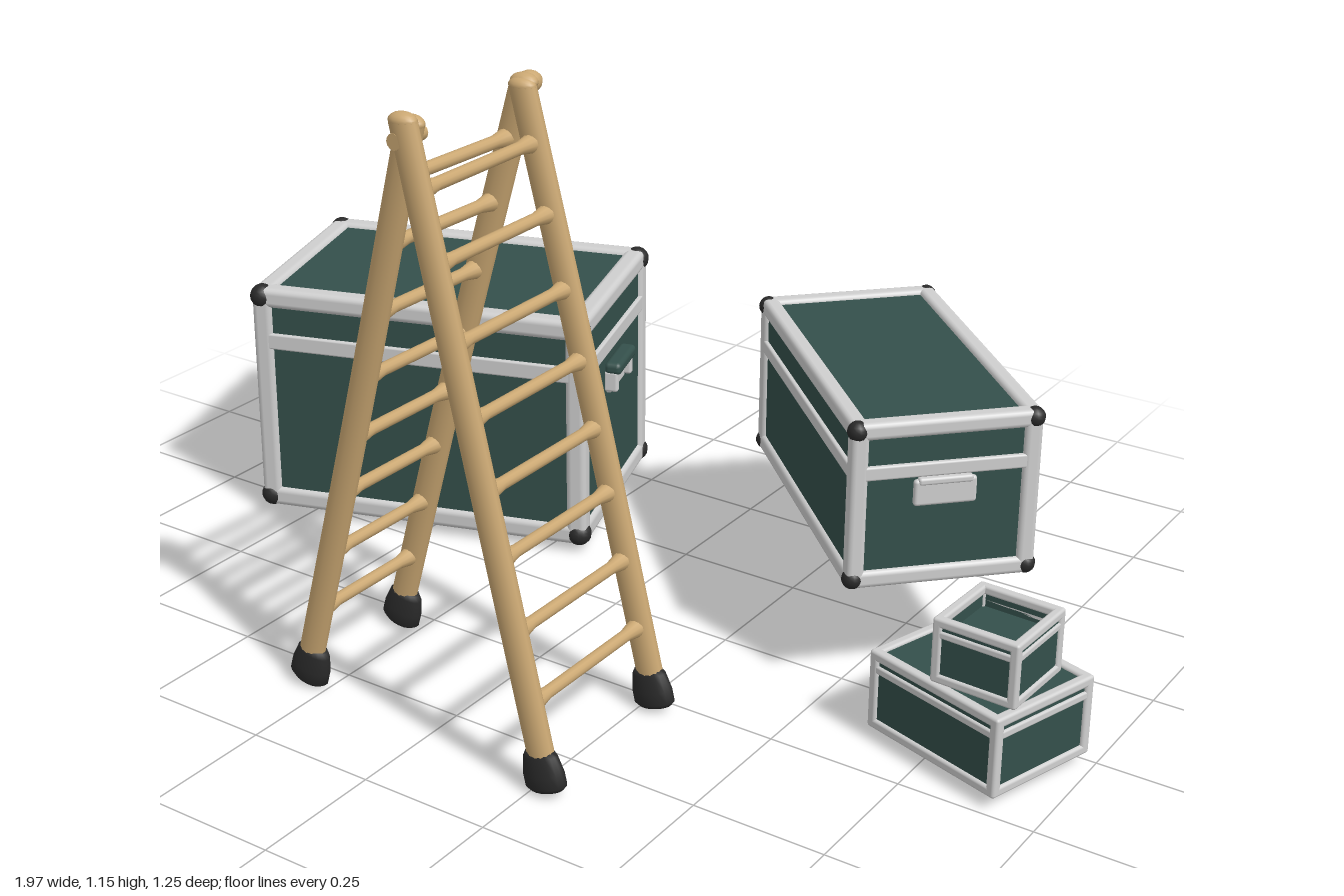
import * as THREE from 'three';
import { RoundedBoxGeometry } from 'three/addons/geometries/RoundedBoxGeometry.js';

const paint = (name, hex) => {
  const m = new THREE.MeshStandardMaterial({ color: hex });
  m.name = name;
  return m;
};

export function createModel() {
  const green = paint('dark green panel', 0x34504b);
  const trim = paint('pale grey trim', 0xcfcfcf);
  const wood = paint('wood', 0xcba873);
  const black = paint('black rubber', 0x2a2a2a);
  const root = new THREE.Group();
  root.name = 'ladderAndTrunks';

  function add(parent, name, geo, mat, x = 0, y = 0, z = 0) {
    const mesh = new THREE.Mesh(geo, mat);
    mesh.name = name;
    mesh.position.set(x, y, z);
    parent.add(mesh);
    return mesh;
  }
  const box = (w, h, d, r = 0) => r ? new RoundedBoxGeometry(w, h, d, 2, r) : new THREE.BoxGeometry(w, h, d);

  // Trunk: inset panels, trim along all twelve edges, lid band, corner caps
  function trunk(o) {
    const g = new THREE.Group();
    const { w, h, d, t, inset = 0.009, recess = 0 } = o;
    g.name = o.name;
    g.position.set(o.x, o.y, o.z);
    g.rotation.y = o.angle;
    root.add(g);
    const bw = w - inset * 2, bd = d - inset * 2, bh = h - inset * 2 - recess;
    add(g, 'body', box(bw, bh, bd), green, 0, inset + bh / 2, 0);
    if (recess) {
      // Raised rim around a sunken top
      for (const s of [-1, 1]) {
        add(g, 'rimSide', box(0.008, recess, bd), green, s * (bw / 2 - 0.004), h - inset - recess / 2, 0);
        add(g, 'rimEnd', box(bw, recess, 0.008), green, 0, h - inset - recess / 2, s * (bd / 2 - 0.004));
      }
    }
    const r = t * 0.3;
    const X = w / 2 - t / 2, Z = d / 2 - t / 2, low = t / 2, high = h - t / 2;
    for (const a of [-1, 1]) {
      for (const y of [low, high]) {
        add(g, 'longEdge', box(w, t, t, r), trim, 0, y, a * Z);
        add(g, 'shortEdge', box(t, t, d, r), trim, a * X, y, 0);
      }
      for (const b of [-1, 1]) {
        add(g, 'cornerPost', box(t, h, t, r), trim, a * X, h / 2, b * Z);
        if (o.cap) for (const y of [low, high]) {
          add(g, 'cornerCap', new THREE.SphereGeometry(o.cap, 14, 10), black,
            a * (w / 2 - o.cap * 0.72), y, b * (d / 2 - o.cap * 0.72));
        }
      }
    }
    // Band under the lid
    const bt = t * 0.8;
    for (const s of [-1, 1]) {
      add(g, 'lidBand', box(w - t, bt, 0.012, 0.004), trim, 0, o.lid, s * (d / 2 - 0.007));
      add(g, 'lidBandEnd', box(0.012, bt, d - t, 0.004), trim, s * (w / 2 - 0.007), o.lid, 0);
    }
    return g;
  }

  // Carrying handle on one end: plate, dark grip and drooping bail
  function endHandle(g, x, y, s) {
    const h = new THREE.Group();
    h.name = 'endHandle';
    h.position.set(x, y, 0);
    h.rotation.y = s * Math.PI / 2;
    g.add(h);
    add(h, 'handlePlate', box(0.1, 0.045, 0.016, 0.006), trim, 0, -0.015, 0);
    add(h, 'handleGrip', box(0.12, 0.026, 0.036, 0.01), green, 0, 0.02, 0.012);
    for (const e of [-1, 1]) add(h, 'handleBracket', box(0.018, 0.045, 0.03, 0.006), trim, e * 0.05, -0.008, 0.008);
  }

  // Large trunk with two end handles and two back latches
  const large = trunk({ name: 'largeTrunk', x: -0.572, y: 0.018, z: -0.24, angle: 0.318,
    w: 0.705, h: 0.484, d: 0.458, t: 0.042, lid: 0.37, cap: 0.025 });
  for (const s of [-1, 1]) {
    endHandle(large, s * 0.347, 0.3, s);
    const latch = add(large, 'backLatch', new THREE.TorusGeometry(0.025, 0.009, 8, 16, Math.PI), trim, s * 0.17, 0.29, -0.228);
    latch.rotation.z = Math.PI;
    for (const e of [-1, 1]) add(large, 'latchLug', box(0.022, 0.02, 0.016, 0.005), trim, s * 0.17 + e * 0.028, 0.292, -0.226);
  }

  // Medium trunk, raised, with a handle on one end and a plate on the other
  const medium = trunk({ name: 'mediumTrunk', x: 0.437, y: 0.225, z: -0.272, angle: -0.772,
    w: 0.628, h: 0.318, d: 0.348, t: 0.033, lid: 0.222, cap: 0.019 });
  endHandle(medium, -0.309, 0.2, -1);
  add(medium, 'endPlate', box(0.014, 0.05, 0.115, 0.006), trim, 0.308, 0.178, 0);
  add(medium, 'endPlateTop', box(0.018, 0.014, 0.1, 0.005), trim, 0.308, 0.2, 0);

  // Two stacked small boxes
  trunk({ name: 'smallBox', x: 0.81, y: 0.022, z: 0.078, angle: -0.3,
    w: 0.3, h: 0.152, d: 0.238, t: 0.019, lid: 0.117, inset: 0.006 });
  trunk({ name: 'smallestBox', x: 0.85, y: 0.173, z: 0.106, angle: -0.05,
    w: 0.162, h: 0.122, d: 0.166, t: 0.017, lid: 0.092, inset: 0.005, recess: 0.035 });

  // Step ladder: each rail runs from foot to top with a slight bow
  const ladder = new THREE.Group();
  ladder.name = 'stepLadder';
  root.add(ladder);
  const wide = 1.45; // rails are deeper along x
  const V = (x, y, z) => new THREE.Vector3(x, y, z);
  function rail(side, foot, top, bow) {
    const mid = foot.clone().lerp(top, 0.5).add(V(0, 0, bow));
    const flat = [foot, mid, top].map(p => V(p.x / wide, p.y, p.z));
    const curve = new THREE.CatmullRomCurve3(flat);
    const m = add(ladder, side + 'Rail', new THREE.TubeGeometry(curve, 20, 0.0185, 14), wood);
    m.scale.x = wide;
    const cap = add(ladder, side + 'RailTop', new THREE.SphereGeometry(0.0185, 14, 10), wood, top.x, top.y, top.z);
    cap.scale.set(wide, 0.8, 1);
    // Rubber foot
    const profile = [[0, 0], [0.019, 0], [0.024, 0.008], [0.024, 0.03], [0.02, 0.062], [0.016, 0.072], [0, 0.072]];
    const shoe = add(ladder, side + 'Foot', new THREE.LatheGeometry(profile.map(p => new THREE.Vector2(...p)), 18), black,
      foot.x + (foot.x > 0 ? 0.006 : -0.006), 0.009, foot.z);
    shoe.scale.x = 1.7;
    shoe.rotation.z = Math.atan2(foot.x - top.x, top.y - foot.y);
    return y => {
      let best = curve.getPoint((y - foot.y) / (top.y - foot.y));
      return V(best.x * wide, y, best.z);
    };
  }
  const rungHeights = [0.16, 0.285, 0.41, 0.525, 0.645, 0.77, 0.9, 1.02];
  // Rungs flare where they join the rails
  function rungs(front, back) {
    for (const y of rungHeights) {
      const a = front(y), b = back(y), len = a.distanceTo(b);
      const pts = [[0.018, 0], [0.017, 0.015], [0.0115, 0.045], [0.0115, len - 0.045], [0.017, len - 0.015], [0.018, len]];
      const m = add(ladder, 'rung', new THREE.LatheGeometry(pts.map(p => new THREE.Vector2(...p)), 12), wood, b.x, b.y, b.z);
      m.quaternion.setFromUnitVectors(V(0, 1, 0), a.clone().sub(b).normalize());
    }
  }
  rungs(rail('leftFront', V(0.272, 0.045, 0.608), V(0.016, 1.132, 0.61), 0),
    rail('leftBack', V(0.272, 0.045, 0.28), V(0.016, 1.115, 0.298), -0.004));
  rungs(rail('rightFront', V(-0.29, 0.045, 0.557), V(0.005, 1.118, 0.578), -0.004),
    rail('rightBack', V(-0.29, 0.045, 0.295), V(0.014, 1.12, 0.29), 0.006));

  // Hinge joints at the apex
  const frontHinge = add(ladder, 'frontHinge', new THREE.CylinderGeometry(0.014, 0.014, 0.07, 12), wood, 0.01, 1.1, 0.593);
  frontHinge.rotation.x = Math.PI / 2;
  const backHinge = add(ladder, 'backHinge', new THREE.SphereGeometry(0.022, 14, 10), wood, 0.013, 1.115, 0.276);
  backHinge.scale.set(1, 0.9, 1.2);

  return root;
}
